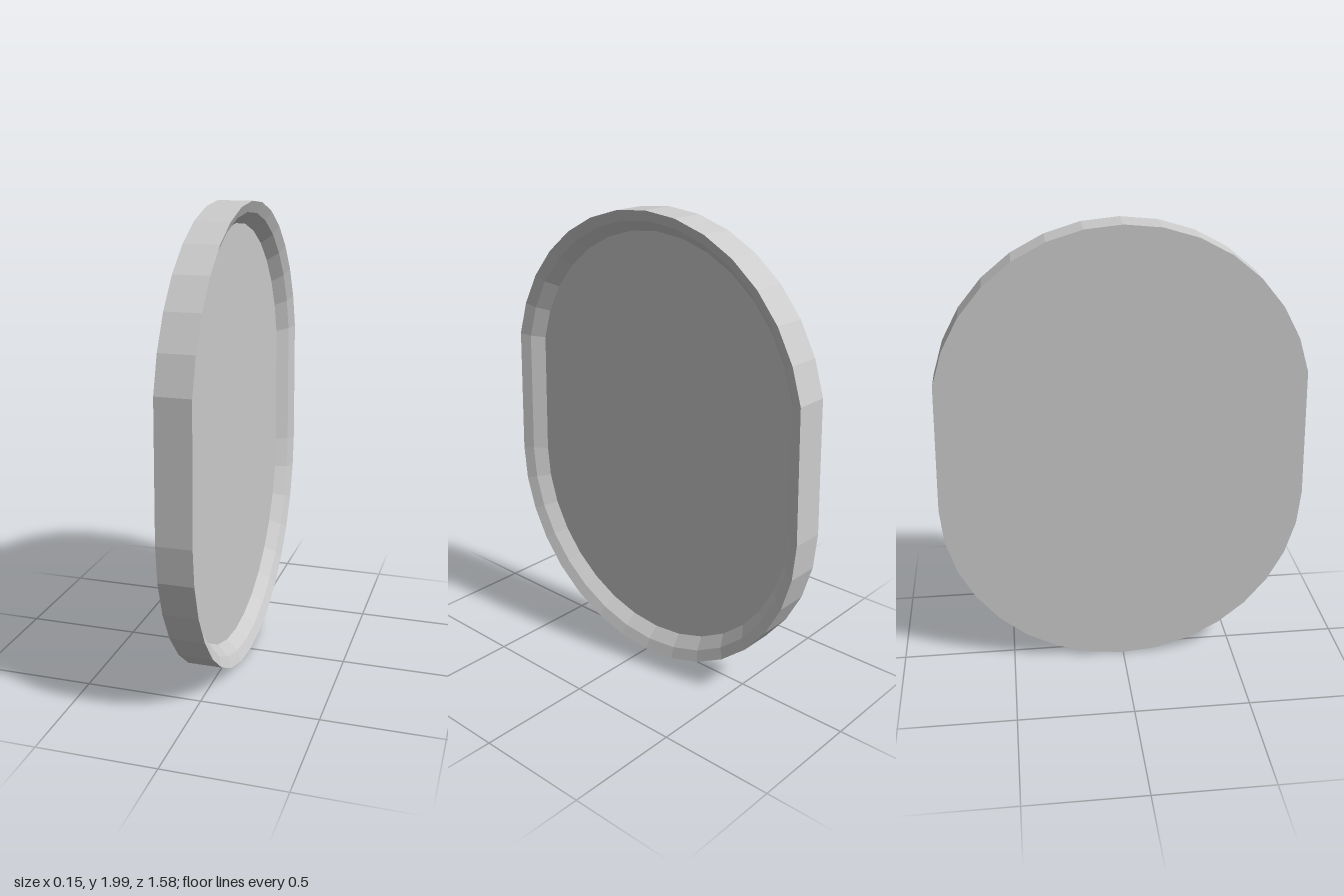
import * as THREE from 'three';

const HALF = 0.073;      // half thickness
const LOW = 0.8;         // centre height of the lower arc
const HIGH = 1.21;       // centre height of the upper arc
const STEPS = 16;        // facets per half circle

// Rounded outline of radius r in the plane at the given x
function outline(x, r) {
  const pts = [];
  for (let i = 0; i < STEPS * 2; i++) {
    const a = (i / STEPS) * Math.PI;
    // the side corners exist only on the lower arc
    if (i > 0 && i < STEPS) pts.push([x, HIGH + r * Math.sin(a), r * Math.cos(a)]);
    else pts.push([x, LOW + r * Math.sin(a), r * Math.cos(a)]);
  }
  return pts;
}

// Faceted skin joining successive rings
function skin(rings) {
  const pos = [];
  for (let k = 0; k < rings.length - 1; k++) {
    const a = rings[k], b = rings[k + 1];
    for (let i = 0; i < a.length; i++) {
      const j = (i + 1) % a.length;
      pos.push(...a[i], ...b[i], ...a[j], ...b[i], ...b[j], ...a[j]);
    }
  }
  return toGeometry(pos);
}

// Flat face filling a ring, seen from +x or -x
function cap(ring, facesPlusX) {
  const pos = [], c = [ring[0][0], 1, 0];
  ring.forEach((p, i) => {
    const q = ring[(i + 1) % ring.length];
    pos.push(...c, ...(facesPlusX ? q : p), ...(facesPlusX ? p : q));
  });
  return toGeometry(pos);
}

function toGeometry(pos) {
  const g = new THREE.BufferGeometry();
  g.setAttribute('position', new THREE.Float32BufferAttribute(pos, 3));
  g.computeVertexNormals();
  return g;
}

export function createModel() {
  const group = new THREE.Group();
  group.name = 'ovalPanel';
  const material = new THREE.MeshStandardMaterial({ color: 0xcccccc, flatShading: true });
  const add = (name, geometry) => {
    const mesh = new THREE.Mesh(geometry, material);
    mesh.name = name;
    group.add(mesh);
  };

  const back = outline(-HALF, 0.79);
  const edge = outline(HALF, 0.79);
  const lip = outline(0.052, 0.745);
  const floor = outline(0.003, 0.7);

  add('outerWall', skin([back, edge]));         // straight side wall
  add('dishedRim', skin([edge, lip, floor]));   // two bevels sinking to the panel
  add('recessedPanel', cap(floor, true));
  add('backPanel', cap(back, false));
  return group;
}
